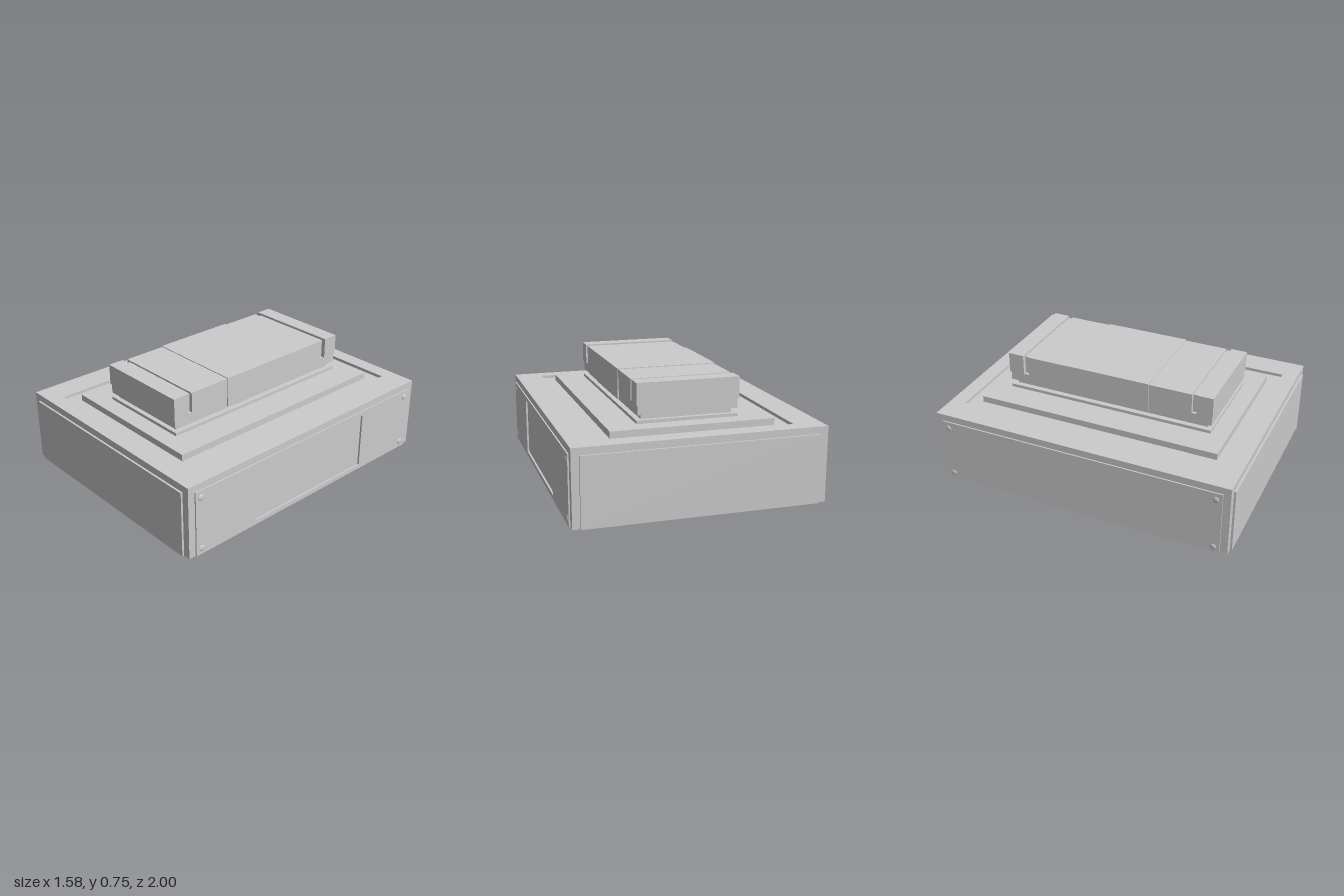
import * as THREE from 'three';

const mat = new THREE.MeshStandardMaterial({ color: 0xcccccc, side: THREE.DoubleSide });

function add(parent, name, geometry, x = 0, y = 0, z = 0) {
  const mesh = new THREE.Mesh(geometry, mat);
  mesh.name = name;
  mesh.position.set(x, y, z);
  parent.add(mesh);
  return mesh;
}

// Corner list of a rectangle, counter-clockwise from bottom left
const rect = (x0, y0, x1, y1) => [[x0, y0], [x1, y0], [x1, y1], [x0, y1]];
const centred = (hx, hy) => rect(-hx, -hy, hx, hy);
const toVectors = (pts) => pts.map((p) => new THREE.Vector2(p[0], p[1]));

// Flat sheet facing +z with optional holes
function sheet(outline, ...holes) {
  const shape = new THREE.Shape(toVectors(outline));
  holes.forEach((h) => shape.holes.push(new THREE.Path(toVectors(h))));
  return new THREE.ShapeGeometry(shape);
}

// Thin strip standing along an outline between two depths
function rim(pts, z0, z1, closed = true) {
  const pos = [];
  const n = closed ? pts.length : pts.length - 1;
  for (let i = 0; i < n; i++) {
    const [ax, ay] = pts[i], [bx, by] = pts[(i + 1) % pts.length];
    pos.push(ax, ay, z0, bx, by, z0, bx, by, z1, ax, ay, z0, bx, by, z1, ax, ay, z1);
  }
  const g = new THREE.BufferGeometry();
  g.setAttribute('position', new THREE.Float32BufferAttribute(pos, 3));
  g.computeVertexNormals();
  return g;
}

const HX = 0.777, HZ = 0.987, TOP = 0.475, PANEL_TOP = 0.43;

// One wall of the hollow base with its raised panel, facing local +z
function wall(name, half, panelHalf, raise, { hasWindow = false, screws = false } = {}) {
  const g = new THREE.Group();
  g.name = name;
  const p = panelHalf;
  add(g, 'wallFrame', sheet([
    [-half, 0], [-p, 0], [-p, PANEL_TOP], [p, PANEL_TOP],
    [p, 0], [half, 0], [half, TOP], [-half, TOP],
  ]));
  add(g, 'panelRim', rim([[p, 0], [p, PANEL_TOP], [-p, PANEL_TOP], [-p, 0]], 0, raise, false));
  const panel = rect(-p, 0, p, PANEL_TOP);
  if (hasWindow) {
    const opening = rect(-0.47, 0.03, 0.47, 0.4);
    add(g, 'panel', sheet(panel, opening), 0, 0, raise);
    add(g, 'windowRim', rim(opening, raise - 0.012, raise));
    add(g, 'window', sheet(opening), 0, 0, raise - 0.012);
  } else {
    add(g, 'panel', sheet(panel), 0, 0, raise);
  }
  if (screws) {
    for (const sx of [-1, 1]) for (const y of [0.04, 0.385]) {
      const dome = new THREE.SphereGeometry(0.02, 16, 6, 0, Math.PI * 2, 0, Math.PI / 2);
      dome.rotateX(Math.PI / 2).scale(1, 1, 0.3);
      add(g, 'screwHead', dome, sx * 0.9, y, raise);
    }
  }
  return g;
}

export function createModel() {
  const model = new THREE.Group();
  model.name = 'steppedCase';

  // Four walls, open underneath
  const front = wall('frontWall', HX, 0.73, 0.013);
  front.position.z = HZ;
  const back = wall('backWall', HX, 0.73, 0.013);
  back.position.z = -HZ;
  back.rotation.y = Math.PI;
  const left = wall('leftWall', HZ, 0.94, 0.009, { hasWindow: true, screws: true });
  left.position.x = HX;
  left.rotation.y = Math.PI / 2;
  const right = wall('rightWall', HZ, 0.94, 0.009, { screws: true });
  right.position.x = -HX;
  right.rotation.y = -Math.PI / 2;
  model.add(front, back, left, right);

  // Deck with a sunken channel around a raised plate
  const deck = new THREE.Group();
  deck.name = 'deck';
  deck.rotation.x = -Math.PI / 2;
  model.add(deck);
  const recess = centred(0.597, 0.887), plate = centred(0.51, 0.805);
  add(deck, 'deckTop', sheet(centred(HX, HZ), recess), 0, 0, TOP);
  add(deck, 'channelRim', rim(recess, 0.455, TOP));
  add(deck, 'channelFloor', sheet(recess, plate), 0, 0, 0.455);
  add(deck, 'plateRim', rim(plate, 0.455, 0.497));
  add(deck, 'plateTop', sheet(plate), 0, 0, 0.497);

  // Boxes stacked on the plate, given by half width, half length and heights
  const block = (name, hx, y0, y1, z0, z1) =>
    add(model, name, new THREE.BoxGeometry(hx * 2, y1 - y0, z1 - z0), 0, (y0 + y1) / 2, (z0 + z1) / 2);
  block('neckFoot', 0.32, 0.497, 0.517, -0.695, 0.695);
  block('neck', 0.285, 0.517, 0.55, -0.665, 0.665);
  block('headBase', 0.315, 0.55, 0.61, -0.697, 0.697);

  // Head: middle part, end caps and the narrow grooves between them
  block('headMiddle', 0.318, 0.61, 0.741, -0.565, 0.565);
  block('headCentre', 0.323, 0.55, 0.746, -0.28, 0.28);
  for (const s of [-1, 1]) {
    const span = (a, b) => (s > 0 ? [a, b] : [-b, -a]);
    block('headGroove', 0.295, 0.61, 0.73, ...span(0.565, 0.598));
    block('headCap', 0.322, 0.61, 0.745, ...span(0.598, 0.703));
  }
  return model;
}
